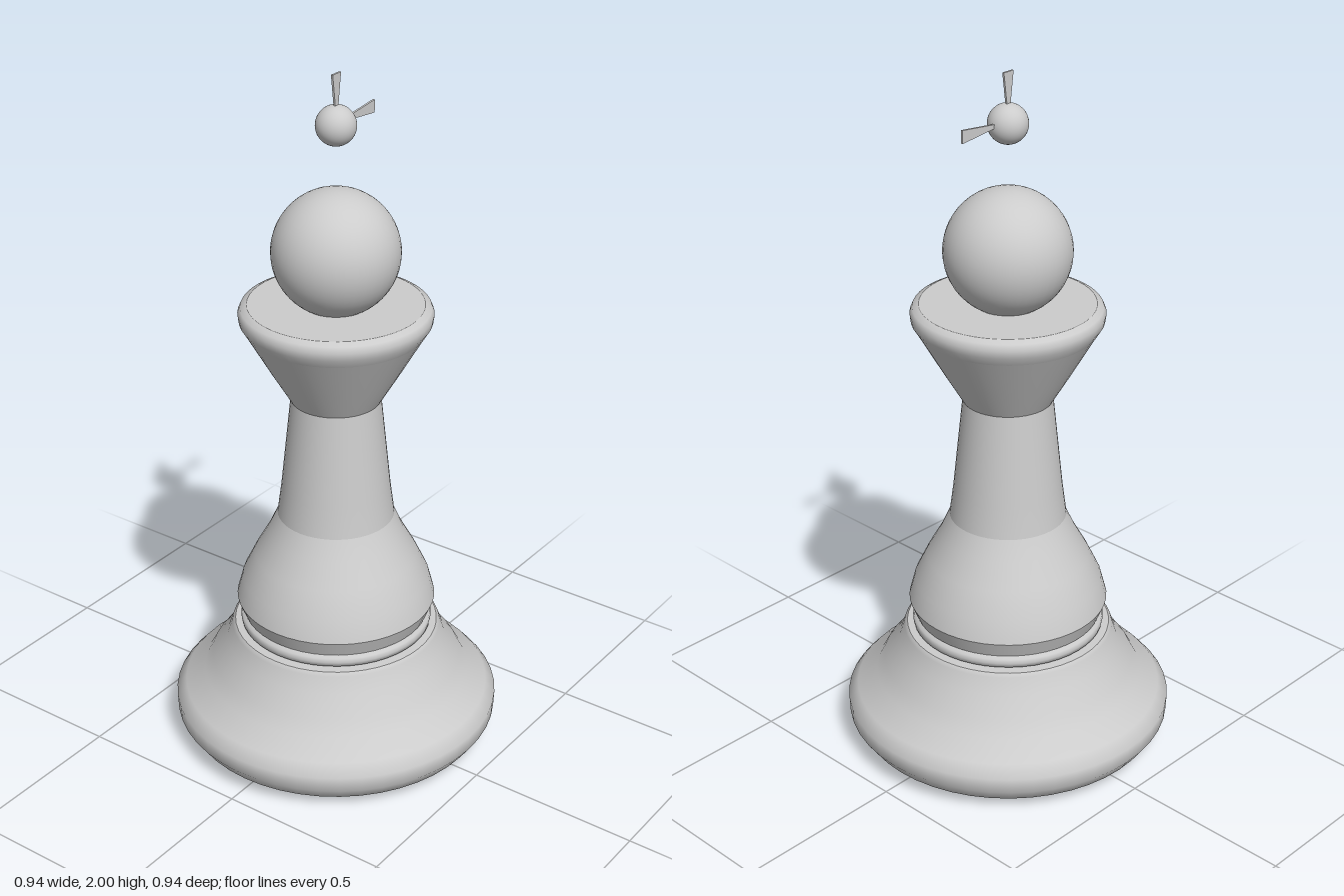
import * as THREE from 'three';

const material = new THREE.MeshStandardMaterial({ color: 0xcccccc, side: THREE.DoubleSide });

function addMesh(group, name, geometry) {
  const mesh = new THREE.Mesh(geometry, material);
  mesh.name = name;
  group.add(mesh);
  return mesh;
}

// Turned part from [radius, height] pairs, listed from bottom to top
function turned(group, name, profile) {
  const points = profile.map(([r, y]) => new THREE.Vector2(r, y));
  return addMesh(group, name, new THREE.LatheGeometry(points, 48));
}

function ball(group, name, radius, y) {
  addMesh(group, name, new THREE.SphereGeometry(radius, 40, 28)).position.y = y;
}

export function createModel() {
  const model = new THREE.Group();
  model.name = 'chessPiece';

  // Foot: flat underside, rounded rim and stepped shoulder
  turned(model, 'footUnderside', [[0, 0], [0.36, 0.004]]);
  turned(model, 'foot', [
    [0.36, 0.004], [0.395, 0.012], [0.44, 0.035], [0.468, 0.075], [0.47, 0.12],
    [0.442, 0.152], [0.385, 0.197], [0.362, 0.24], [0.318, 0.298], [0.302, 0.345], [0.293, 0.355],
  ]);
  turned(model, 'footTop', [[0.293, 0.355], [0.25, 0.358]]);

  // Thin ring between foot and body
  turned(model, 'ring', [[0.262, 0.356], [0.274, 0.362], [0.276, 0.374], [0.274, 0.386], [0.262, 0.392]]);

  // Body: flared skirt and tapering stem
  turned(model, 'bodyUnderside', [[0.25, 0.392], [0.266, 0.394]]);
  turned(model, 'bodyRim', [[0.266, 0.394], [0.285, 0.442]]);
  turned(model, 'skirt', [[0.285, 0.442], [0.268, 0.505], [0.232, 0.58], [0.193, 0.65], [0.166, 0.71]]);
  turned(model, 'stem', [[0.166, 0.71], [0.154, 0.8], [0.126, 1.07]]);

  // Collar: cone with a rounded lip and flat top
  turned(model, 'collarCone', [[0.126, 1.07], [0.18, 1.162], [0.248, 1.282]]);
  turned(model, 'collarLip', [[0.248, 1.282], [0.264, 1.308], [0.267, 1.33], [0.26, 1.347], [0.242, 1.355]]);
  turned(model, 'collarTop', [[0.242, 1.355], [0, 1.355]]);

  // Head and the small floating ball above it
  ball(model, 'head', 0.176, 1.505);
  ball(model, 'finialBall', 0.055, 1.86);

  // Thin blades widening outwards, one upward and one to the side
  const outline = new THREE.Shape([
    new THREE.Vector2(-0.005, 0.04), new THREE.Vector2(0.005, 0.04),
    new THREE.Vector2(0.018, 0.14), new THREE.Vector2(-0.018, 0.14),
  ]);
  const bladeGeometry = new THREE.ExtrudeGeometry(outline, { depth: 0.006, bevelEnabled: false });
  bladeGeometry.translate(0, 0, -0.003);
  [['topBlade', 0, 0.14], ['sideBlade', -Math.PI / 2, 0.17]].forEach(([name, angle, reach]) => {
    const blade = addMesh(model, name, bladeGeometry);
    blade.position.y = name === 'sideBlade' ? 1.865 : 1.86;
    blade.rotation.z = angle;
    blade.scale.y = reach / 0.14;
  });

  return model;
}
